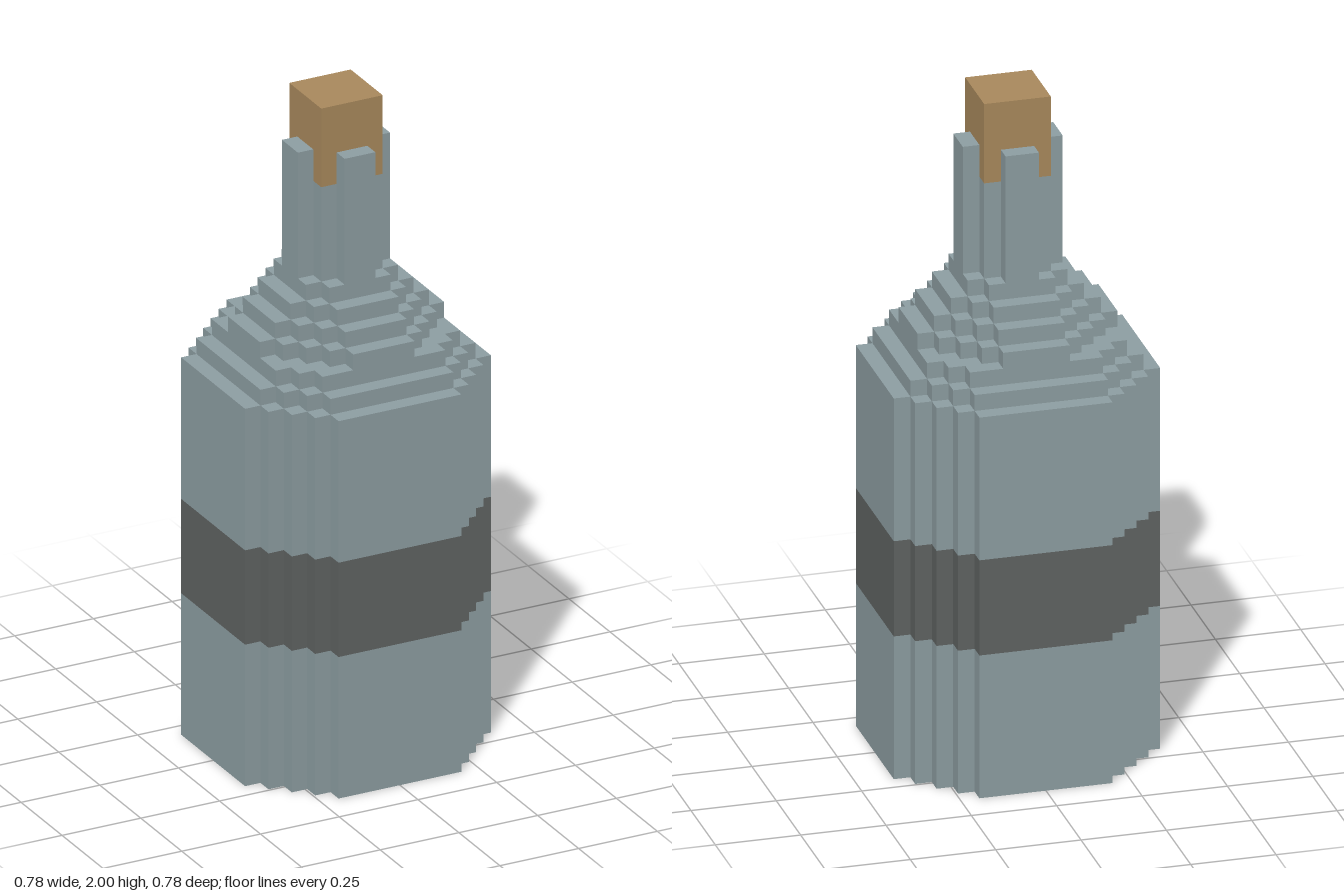
import * as THREE from 'three';

const U = 2 / 41; // one block of the grid

const material = (name, color) => {
  const m = new THREE.MeshStandardMaterial({ color });
  m.name = name;
  return m;
};

// Stepped round slab: 'half' is its half width in blocks, and every
// outer corner of the staircase satisfies x + z = sum.
function steppedSlab(half, sum, y0, y1) {
  const quarter = [];
  for (let x = half; x >= sum - half; x--) {
    quarter.push([x, sum - x]);
    if (x > sum - half) quarter.push([x - 1, sum - x]);
  }
  const points = [];
  for (let k = 0; k < 4; k++) {
    for (const [x, z] of quarter) {
      const [px, pz] = [[x, z], [-z, x], [-x, -z], [z, -x]][k];
      points.push(new THREE.Vector2(px * U, pz * U));
    }
  }
  const geometry = new THREE.ExtrudeGeometry(new THREE.Shape(points), {
    depth: (y1 - y0) * U,
    bevelEnabled: false,
  });
  return geometry.rotateX(-Math.PI / 2).translate(0, y0 * U, 0);
}

export function createModel() {
  const glass = material('glass', 0x8e9fa3);
  const label = material('label', 0x606463);
  const corkBrown = material('cork', 0xaa8a5d);

  const bottle = new THREE.Group();
  bottle.name = 'bottle';
  const add = (name, geometry, mat, parent = bottle) => {
    const mesh = new THREE.Mesh(geometry, mat);
    mesh.name = name;
    parent.add(mesh);
    return mesh;
  };

  // Body with a dark band around it
  add('lowerBody', steppedSlab(8, 12, 0, 9), glass);
  add('labelBand', steppedSlab(8, 12, 9, 15), label);
  add('upperBody', steppedSlab(8, 12, 15, 24), glass);

  // Shoulder, one block high per step
  const shoulder = new THREE.Group();
  shoulder.name = 'shoulder';
  bottle.add(shoulder);
  [[7, 11], [6, 10], [6, 8], [5, 7], [4, 6], [3, 5]].forEach(([half, sum], i) => {
    add('shoulderStep' + (i + 1), steppedSlab(half, sum, 24 + i, 25 + i), glass, shoulder);
  });

  // Neck, with four prongs rising beside the cork
  add('neck', steppedSlab(3, 4, 30, 36), glass);
  for (let k = 0; k < 4; k++) {
    const prong = new THREE.BoxGeometry(2 * U, 2 * U, U);
    prong.translate(0, 37 * U, 2.5 * U).rotateY(k * Math.PI / 2);
    add('neckProng' + (k + 1), prong, glass);
  }

  // Cork
  add('cork', new THREE.BoxGeometry(4 * U, 5 * U, 4 * U), corkBrown).position.y = 38.5 * U;

  return bottle;
}
